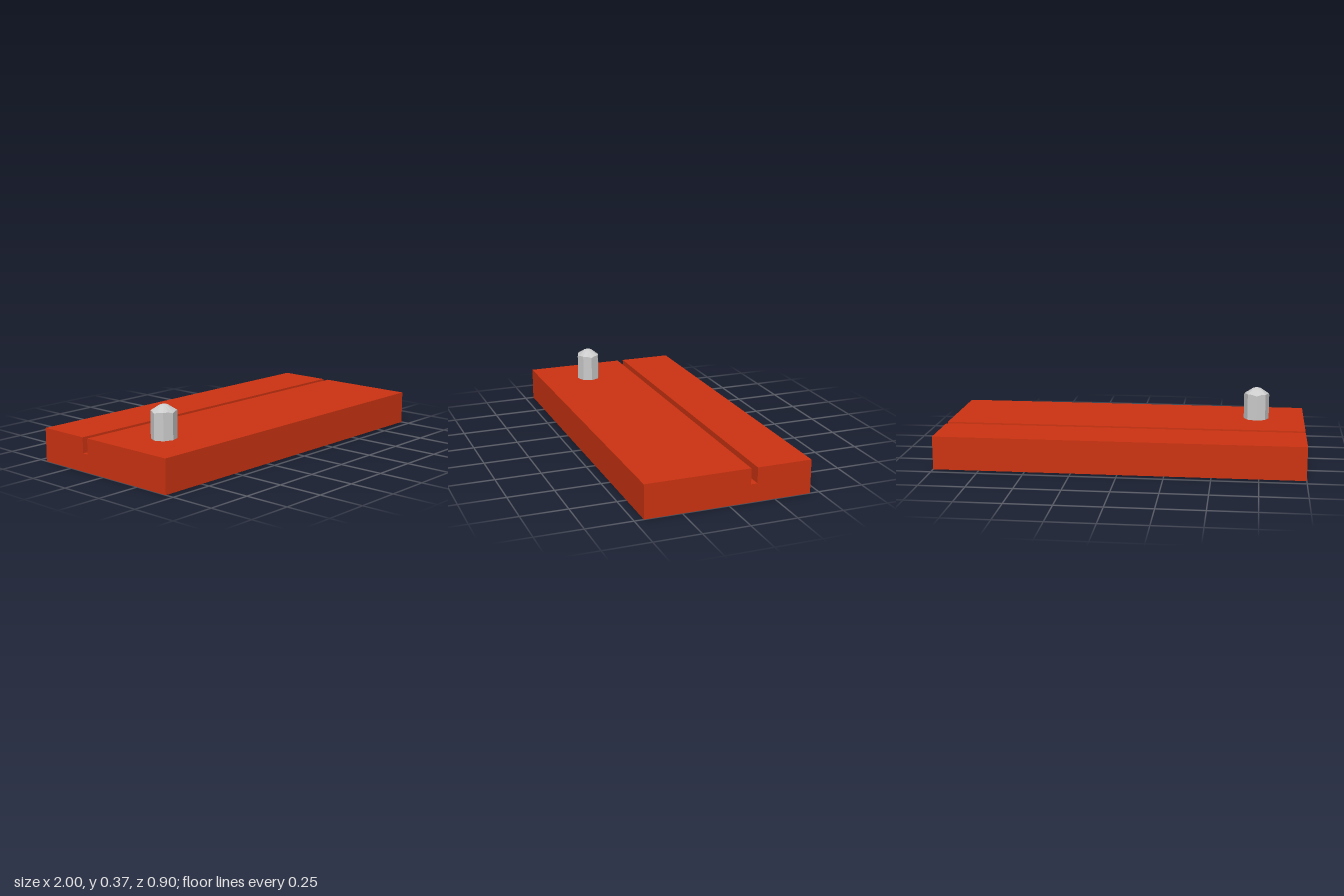
import * as THREE from 'three';

export function createModel() {
  const model = new THREE.Group();

  // Slab: grooved cross-section extruded along x (shape x is -z)
  const section = new THREE.Shape([
    [-0.45, 0], [0.45, 0], [0.45, 0.183], [0.152, 0.183],
    [0.152, 0.098], [0.117, 0.098], [0.117, 0.183], [-0.45, 0.183],
  ].map(([x, y]) => new THREE.Vector2(x, y)));
  const slabGeometry = new THREE.ExtrudeGeometry(section, { depth: 2, bevelEnabled: false });
  slabGeometry.translate(0, 0, -1).rotateY(Math.PI / 2);
  const slab = new THREE.Mesh(slabGeometry, new THREE.MeshStandardMaterial({ color: 0xcc3311 }));
  slab.name = 'groovedSlab';
  model.add(slab);

  // Post: faceted octagonal prism with a shallow dome
  const sides = 16;
  const profile = [[0, 0.17], [1, 0.17], [1, 0.33], [0.37, 0.357], [0, 0.365]]
    .map(([r, y]) => new THREE.Vector2(r, y));
  const postGeometry = new THREE.LatheGeometry(profile, sides);
  const position = postGeometry.attributes.position;
  for (let i = 0; i < position.count; i++) {
    const step = Math.floor(i / profile.length);
    // Odd steps lie on the middle of the flats; the rim dips at the four axis corners
    const flat = step % 2 ? Math.cos(Math.PI / 8) : 1;
    const dip = i % profile.length === 2 && step % 4 === 0 ? 0.007 : 0;
    position.setXYZ(i, position.getX(i) * flat * 0.071, position.getY(i) - dip,
      position.getZ(i) * flat * 0.0655);
  }
  postGeometry.computeVertexNormals();
  const post = new THREE.Mesh(postGeometry,
    new THREE.MeshStandardMaterial({ color: 0xcccccc, flatShading: true }));
  post.name = 'post';
  post.position.set(-0.73, 0, 0.168);
  model.add(post);

  return model;
}
